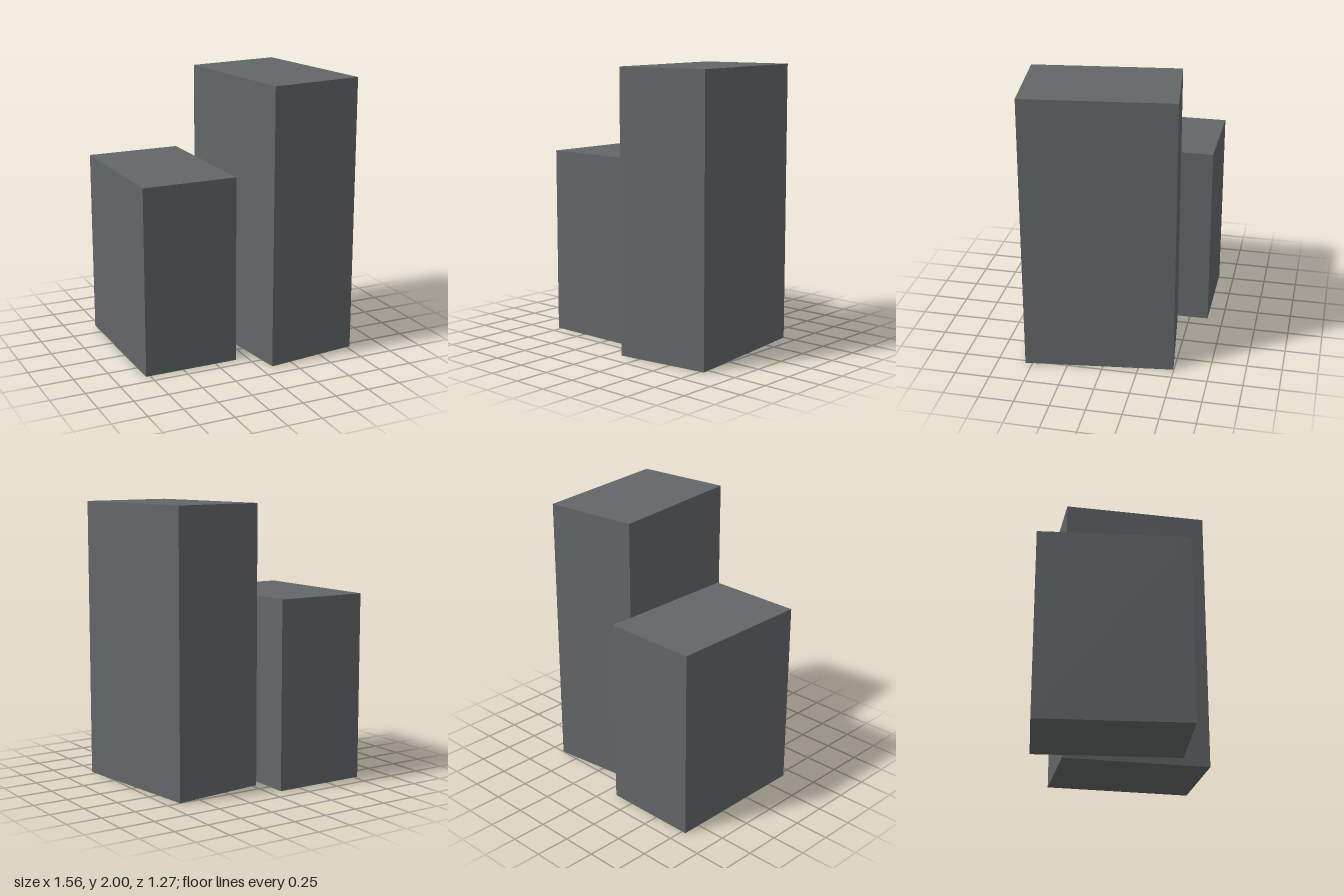
import * as THREE from 'three';

export function createModel() {
  const model = new THREE.Group();
  model.name = 'twoBlocks';

  const darkGrey = new THREE.MeshStandardMaterial({ color: 0x626666 });
  darkGrey.name = 'darkGrey';

  // Both blocks share one footprint and stand on the ground
  const WIDTH = 0.69, DEPTH = 1.055;
  function addBlock(name, height, x, z, turn) {
    const block = new THREE.Mesh(new THREE.BoxGeometry(WIDTH, height, DEPTH), darkGrey);
    block.name = name;
    block.position.set(x, height / 2, z);
    block.rotation.y = turn;
    model.add(block);
  }

  addBlock('shortBlock', 1.35, -0.435, -0.108, 0);
  // The tall block is turned slightly
  addBlock('tallBlock', 2, 0.372, 0.068, 0.12);

  return model;
}
